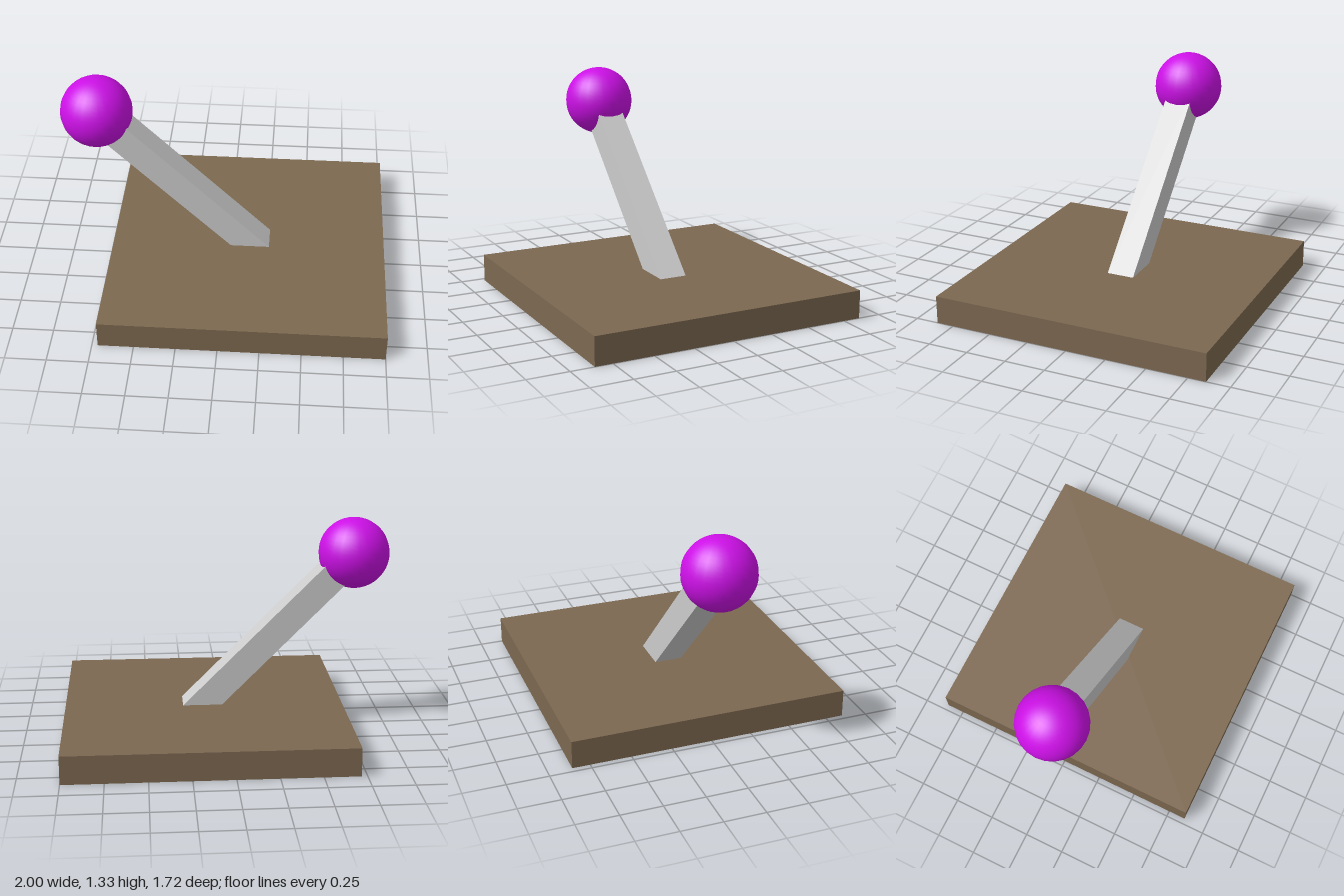
import * as THREE from 'three';

export function createModel() {
  const model = new THREE.Group();
  const add = (name, geometry, color, x, y, z = 0) => {
    const mesh = new THREE.Mesh(geometry, new THREE.MeshStandardMaterial({ color }));
    mesh.name = name;
    mesh.position.set(x, y, z);
    model.add(mesh);
    return mesh;
  };

  // Square floor plate
  add('base', new THREE.BoxGeometry(1.715, 0.172, 1.715), 0x7c6850, 0.1425, 0.086);

  // Ball grip at the end of the lever
  const knobCentre = new THREE.Vector2(-0.783, 1.108);
  add('knob', new THREE.SphereGeometry(0.217, 24, 24), 0xcc10e6, knobCentre.x, knobCentre.y);

  // Square shaft leaning 45 degrees, from inside the base to the knob centre
  const foot = new THREE.Vector2(0.225, 0.1);
  const length = foot.distanceTo(knobCentre);
  const middle = foot.clone().add(knobCentre).multiplyScalar(0.5);
  const shaft = add('leverShaft', new THREE.BoxGeometry(0.171, length, 0.171), 0xcccccc, middle.x, middle.y);
  shaft.rotation.z = Math.PI / 4;

  return model;
}
